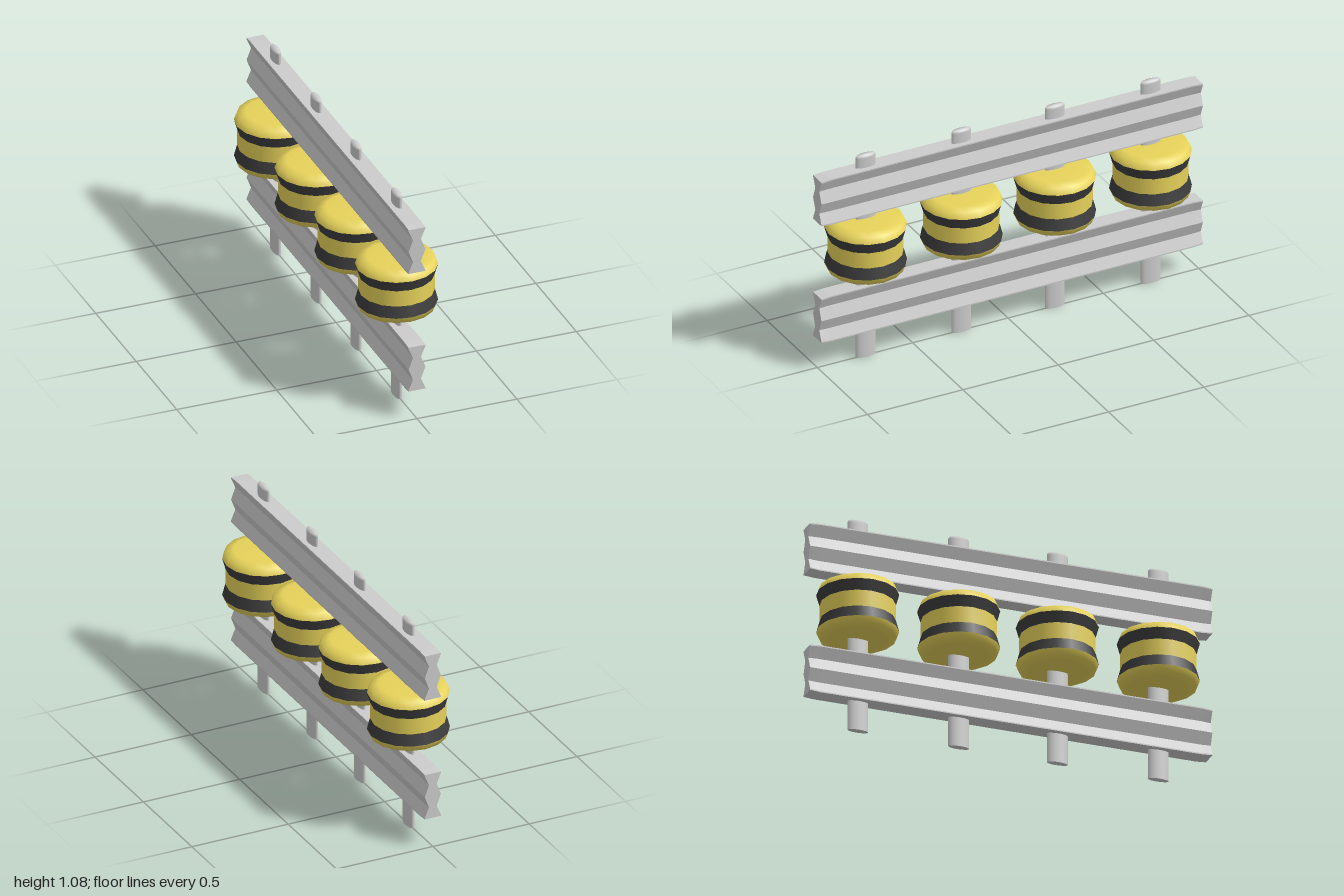
import * as THREE from 'three';

const material = (color) => new THREE.MeshStandardMaterial({ color });
const vectors = (pairs) => pairs.map(([x, y]) => new THREE.Vector2(x, y));

function addMesh(parent, name, geometry, mat) {
  const mesh = new THREE.Mesh(geometry, mat);
  mesh.name = name;
  parent.add(mesh);
  return mesh;
}

// Double-wave rail profile, extruded along z, with slightly tapered ends
function railGeometry() {
  const side = [[0.042, -0.12], [0.042, -0.114], [0.02, -0.06], [0.042, 0],
    [0.02, 0.06], [0.042, 0.114], [0.042, 0.12]];
  const outline = [...side, ...side.map(([x, y]) => [-x, y]).reverse()];
  const geometry = new THREE.ExtrudeGeometry(new THREE.Shape(vectors(outline)),
    { depth: 3, steps: 3, bevelEnabled: false });
  const stations = [-1, -0.95, 0.95, 1];
  const p = geometry.attributes.position;
  for (let i = 0; i < p.count; i++) {
    const step = Math.round(p.getZ(i));
    const atEnd = step === 0 || step === 3;
    p.setZ(i, stations[step]);
    if (atEnd) p.setY(i, p.getY(i) * 0.965);
  }
  geometry.computeVertexNormals();
  return geometry;
}

// Flattened oval post with a softened top
function postGeometry() {
  const profile = [[0, 0], [0.052, 0], [0.052, 0], [0.052, 1.06], [0.046, 1.072], [0, 1.075]];
  return new THREE.LatheGeometry(vectors(profile), 16).scale(0.34, 1, 1);
}

export function createModel() {
  const model = new THREE.Group();
  const grey = material(0xcccccc);
  const yellow = material(0xe6d25a);
  const dark = material(0x3c3c3c);

  // Rails
  const rail = railGeometry();
  addMesh(model, 'lowerRail', rail, grey).position.y = 0.267;
  addMesh(model, 'upperRail', rail, grey).position.y = 0.889;

  // Roller sections, listed from bottom to top
  const sections = [
    ['bottomCap', yellow, [[0, 0.465], [0.14, 0.465], [0.181, 0.476], [0.193, 0.505]]],
    ['lowerBand', dark, [[0.193, 0.505], [0.178, 0.561]]],
    ['rollerWaist', yellow, [[0.178, 0.561], [0.178, 0.642]]],
    ['upperBand', dark, [[0.178, 0.642], [0.193, 0.695]]],
    ['topCap', yellow, [[0.193, 0.695], [0.181, 0.726], [0.14, 0.738], [0, 0.738]]],
  ].map(([name, mat, points]) => [name, new THREE.LatheGeometry(vectors(points), 16), mat]);

  // Four posts, each carrying one roller
  const post = postGeometry();
  for (const z of [0.747, 0.245, -0.245, -0.747]) {
    addMesh(model, 'post', post, grey).position.z = z;
    const roller = new THREE.Group();
    roller.name = 'roller';
    roller.position.z = z;
    for (const [name, geometry, mat] of sections) addMesh(roller, name, geometry, mat);
    model.add(roller);
  }
  return model;
}
